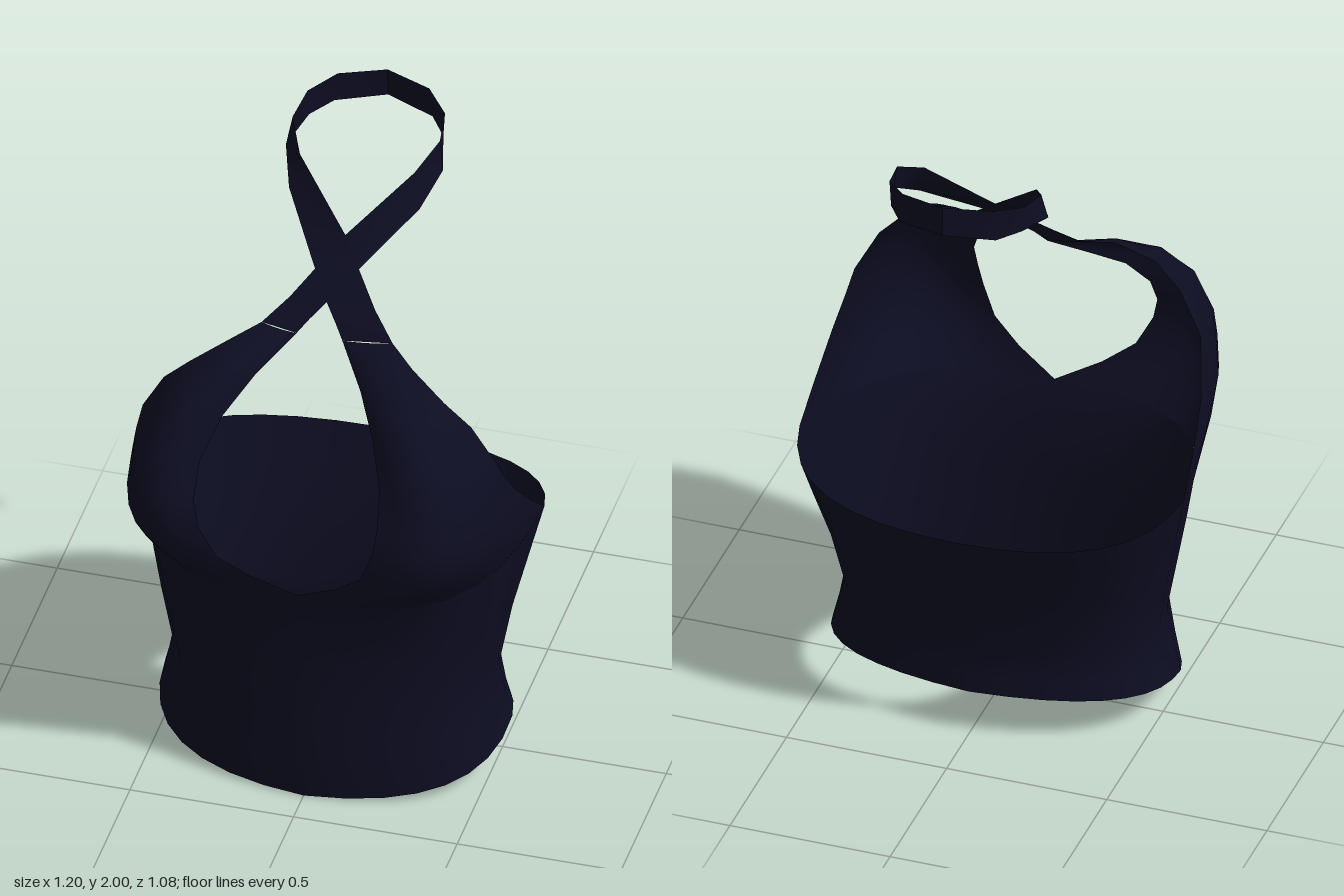
import * as THREE from 'three';

const SEG = 8;

// Point on a curve from a to b, pulled towards c
function bend(a, c, b, t) {
  const k = 1 - t;
  return a.map((v, i) => k * k * v + 2 * k * t * c[i] + t * t * b[i]);
}

function arc([a, c, b], seg = SEG) {
  return Array.from({ length: seg + 1 }, (_, i) => bend(a, c, b, i / seg));
}

const mirror = ([x, y, z]) => [-x, y, z];

// Smooth sheet through rows of points (rows go up, points go anticlockwise)
function sheet(name, rows, material, flip = false) {
  const n = rows[0].length;
  const index = [];
  for (let r = 0; r < rows.length - 1; r++) {
    for (let c = 0; c < n - 1; c++) {
      const a = r * n + c, b = a + 1, d = a + n, e = d + 1;
      if (flip) index.push(a, d, b, b, d, e);
      else index.push(a, b, d, b, e, d);
    }
  }
  const geometry = new THREE.BufferGeometry();
  geometry.setAttribute('position', new THREE.Float32BufferAttribute(rows.flat(2), 3));
  geometry.setIndex(index);
  geometry.computeVertexNormals();
  const mesh = new THREE.Mesh(geometry, material);
  mesh.name = name;
  return mesh;
}

// Front of the bodice: centre, pull, side seam
const FRONT = [
  [[0, 0, 0.39], [0.54, 0.02, 0.37], [0.53, 0.12, 0]],
  [[0, 0.14, 0.397], [0.51, 0.15, 0.38], [0.51, 0.2, 0]],
  [[0, 0.3, 0.4], [0.48, 0.3, 0.39], [0.49, 0.31, 0]],
  [[0, 0.5, 0.405], [0.54, 0.5, 0.4], [0.525, 0.51, -0.02]],
  [[0, 0.68, 0.42], [0.56, 0.65, 0.44], [0.565, 0.68, -0.06]],
  [[0, 0.78, 0.455], [0.55, 0.74, 0.53], [0.6, 0.83, -0.1]],
];

// Back of the bodice: pull and centre, starting at the same side seams
const BACK = [
  [[0.5, 0.15, -0.27], [0, 0.15, -0.305]],
  [[0.47, 0.21, -0.27], [0, 0.21, -0.3]],
  [[0.45, 0.3, -0.28], [0, 0.3, -0.295]],
  [[0.5, 0.5, -0.33], [0, 0.5, -0.335]],
  [[0.53, 0.65, -0.4], [0, 0.65, -0.395]],
  [[0.55, 0.76, -0.44], [0, 0.76, -0.44]],
];

// Cup: neckline edge, pull over the bust, armhole edge
const CUP = [
  FRONT[5],
  [[0.13, 0.85, 0.49], [0.58, 0.86, 0.58], [0.59, 0.93, 0.01]],
  [[0.22, 0.92, 0.515], [0.57, 0.94, 0.62], [0.575, 1.04, 0.12]],
  [[0.265, 1.02, 0.52], [0.54, 1.03, 0.62], [0.555, 1.13, 0.18]],
  [[0.28, 1.1, 0.5], [0.52, 1.12, 0.6], [0.54, 1.2, 0.215]],
  [[0.275, 1.2, 0.44], [0.46, 1.25, 0.58], [0.47, 1.33, 0.235]],
  [[0.23, 1.31, 0.35], [0.36, 1.37, 0.48], [0.39, 1.41, 0.245]],
  [[0.16, 1.4, 0.24], [0.25, 1.44, 0.33], [0.28, 1.48, 0.2]],
  [[0.07, 1.49, 0.13], [0.14, 1.5, 0.14], [0.2, 1.51, 0.13]],
];

// Strap: lower edge and upper edge, crossing over to the nape
const STRAP = [
  [[0.07, 1.49, 0.13], [0.2, 1.51, 0.13]],
  [[0.04, 1.53, 0.105], [0.13, 1.575, 0.07]],
  [[0, 1.575, 0.07], [0.065, 1.65, 0]],
  [[-0.065, 1.65, 0], [0, 1.725, -0.07]],
  [[-0.2, 1.79, -0.17], [-0.175, 1.895, -0.2]],
  [[-0.24, 1.86, -0.28], [-0.225, 1.95, -0.3]],
  [[-0.205, 1.885, -0.41], [-0.21, 1.97, -0.41]],
  [[-0.15, 1.89, -0.49], [-0.14, 1.99, -0.49]],
  [[0, 1.905, -0.54], [0, 2, -0.535]],
];

// The neckline hangs slightly to one side
function offset(row) {
  return row.map(([x, y, z], i) => {
    const swing = Math.max(0, Math.sin(Math.PI * (y - 0.78)));
    return [x - 0.03 * swing * (1 - i / (row.length - 1)), y, z];
  });
}

export function createModel() {
  const fabric = new THREE.MeshStandardMaterial({ color: 0x0d0d22, side: THREE.DoubleSide });
  fabric.name = 'navy fabric';
  const top = new THREE.Group();
  top.name = 'halterTop';

  // Bodice panels meet at the side seams
  const frontRows = FRONT.map((f) => {
    const half = arc(f);
    return [...half.slice(1).reverse().map(mirror), ...half];
  });
  const backRows = BACK.map(([c, b], i) => {
    const half = arc([FRONT[i][2], c, b]);
    return [...half, ...half.slice(0, -1).reverse().map(mirror)];
  });
  top.add(sheet('frontPanel', frontRows, fabric), sheet('backPanel', backRows, fabric));

  // Cups and crossed neck straps
  for (const side of [1, -1]) {
    const place = (row) => offset(side > 0 ? row : row.map(mirror));
    const label = side > 0 ? 'left' : 'right';
    top.add(
      sheet(label + 'Cup', CUP.map((r) => place(arc(r))), fabric, side < 0),
      sheet(label + 'Strap', STRAP.map(place), fabric, side < 0),
    );
  }
  return top;
}
